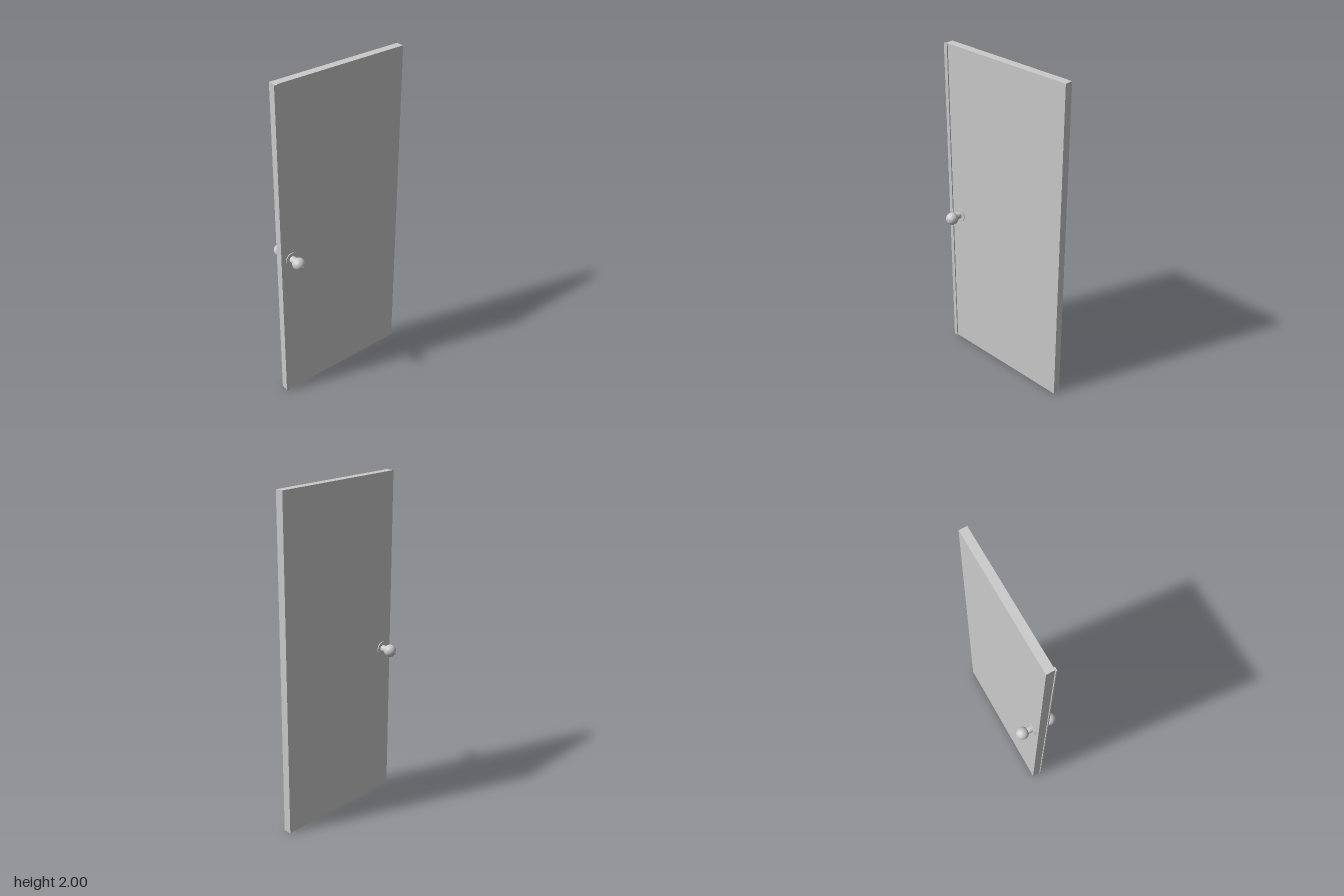
import * as THREE from 'three';

export function createModel() {
  const door = new THREE.Group();
  door.name = 'door';
  const material = new THREE.MeshStandardMaterial({ color: 0xcccccc });

  const add = (parent, name, geometry, x = 0, y = 0, z = 0) => {
    const mesh = new THREE.Mesh(geometry, material);
    mesh.name = name;
    mesh.position.set(x, y, z);
    parent.add(mesh);
    return mesh;
  };

  // Door leaf and the thin stop strip along its latch edge
  const back = -0.027, front = 0.021;
  add(door, 'leaf', new THREE.BoxGeometry(0.848, 2, front - back), 0.003, 1, (front + back) / 2);
  add(door, 'stopStrip', new THREE.BoxGeometry(0.023, 2, 0.007), -0.4175, 1, front + 0.0035);

  // Knob ball profile: open sphere from the neck to a small dimple at the tip
  const radius = 0.037, neck = 0.0207, centre = 0.0635;
  const start = Math.asin(neck / radius), end = Math.PI - 0.16;
  const ball = [];
  for (let i = 0; i <= 24; i++) {
    const a = start + (end - start) * i / 24;
    ball.push(new THREE.Vector2(radius * Math.sin(a), centre - radius * Math.cos(a)));
  }
  const rim = ball[ball.length - 1];
  const dimple = [rim.clone(), new THREE.Vector2(rim.x * 0.9, rim.y - 0.003), new THREE.Vector2(0, rim.y - 0.003)];

  // One handle along +y, turned to face away from the leaf on each side
  for (const [name, z, turn] of [['frontHandle', front, 1], ['backHandle', back, -1]]) {
    const handle = new THREE.Group();
    handle.name = name;
    handle.position.set(-0.353, 0.942, z);
    handle.rotation.x = turn * Math.PI / 2;
    add(handle, 'rosette', new THREE.CylinderGeometry(0.041, 0.041, 0.005, 40), 0, 0.0025, 0);
    add(handle, 'neck', new THREE.CylinderGeometry(neck, neck, 0.036, 32), 0, 0.018, 0);
    add(handle, 'knob', new THREE.LatheGeometry(ball, 40));
    add(handle, 'knobDimple', new THREE.LatheGeometry(dimple, 24));
    door.add(handle);
  }
  return door;
}
